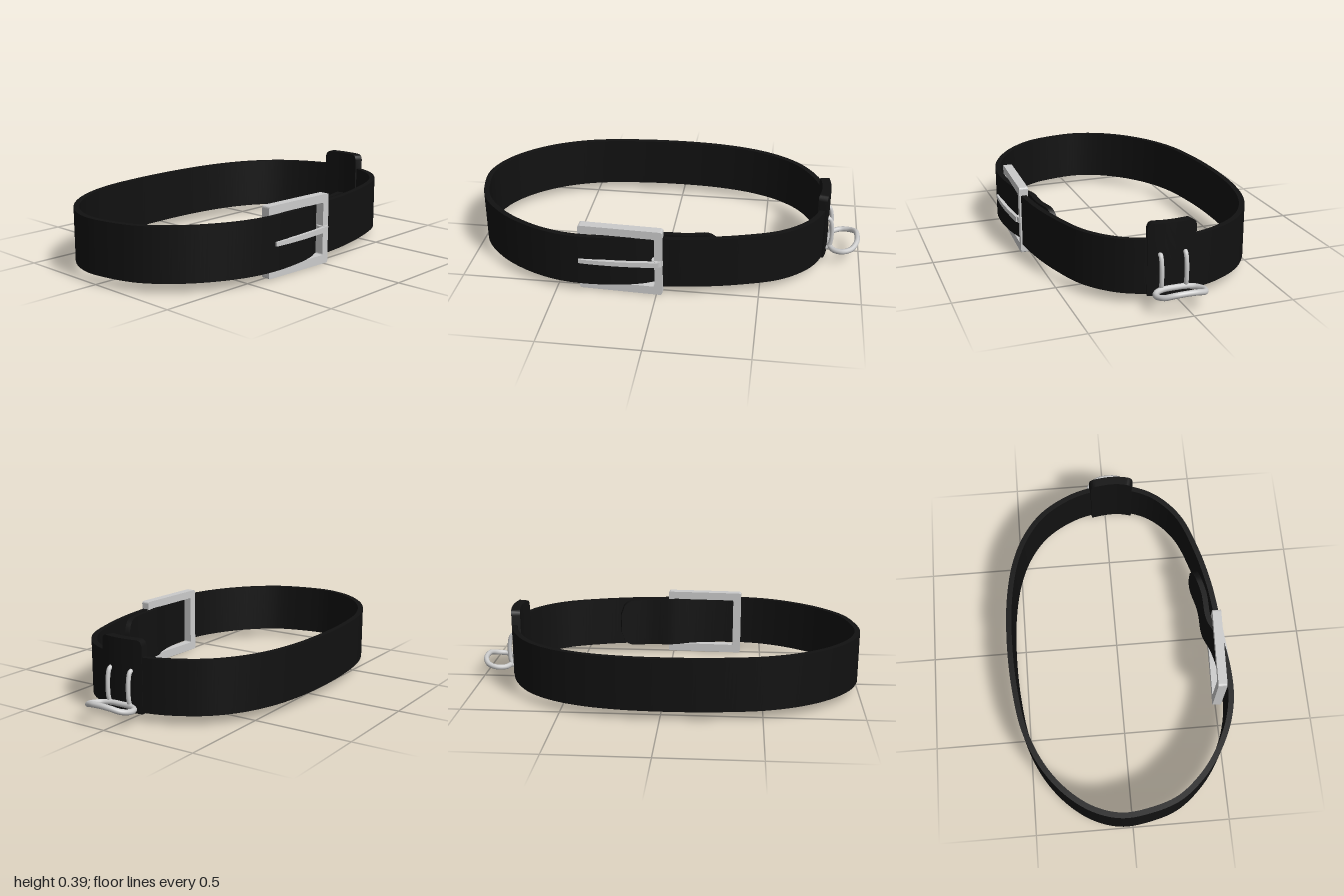
import * as THREE from 'three';
import { toCreasedNormals } from 'three/addons/utils/BufferGeometryUtils.js';

const leather = new THREE.MeshStandardMaterial({ color: 0x111111 });
const metal = new THREE.MeshStandardMaterial({ color: 0xcccccc });

function mesh(name, geometry, material) {
  const m = new THREE.Mesh(geometry, material);
  m.name = name;
  return m;
}

// How far a rounded corner of radius r cuts in at distance d from the end
const corner = (d, r) => (d >= r ? 0 : r - Math.sqrt(Math.max(0, r * r - (r - d) ** 2)));

// Upright band of rectangular section along an x-z path; range(s, length) gives [bottom, top]
function band(points, thickness, n, range) {
  const curve = new THREE.CatmullRomCurve3(points.map(([x, z]) => new THREE.Vector3(x, 0, z)));
  const length = curve.getLength();
  const pos = [], index = [];
  for (let i = 0; i <= n; i++) {
    const p = curve.getPointAt(i / n), t = curve.getTangentAt(i / n);
    const [y0, y1] = range((i / n) * length, length);
    const h = thickness / 2, nx = -t.z * h, nz = t.x * h;
    pos.push(p.x + nx, y0, p.z + nz, p.x + nx, y1, p.z + nz);
    pos.push(p.x - nx, y1, p.z - nz, p.x - nx, y0, p.z - nz);
    if (i === n) break;
    for (let k = 0; k < 4; k++) {
      const a = i * 4 + k, b = i * 4 + ((k + 1) % 4);
      index.push(a, a + 4, b + 4, a, b + 4, b);
    }
  }
  const e = n * 4;
  index.push(0, 1, 2, 0, 2, 3, e, e + 2, e + 1, e, e + 3, e + 2);
  const g = new THREE.BufferGeometry();
  g.setAttribute('position', new THREE.Float32BufferAttribute(pos, 3));
  g.setIndex(index);
  return toCreasedNormals(g, 0.6);
}

function rod(points, radius, closed = false) {
  const curve = new THREE.CatmullRomCurve3(points.map((p) => new THREE.Vector3(...p)), closed);
  return new THREE.TubeGeometry(curve, 64, radius, 10, closed);
}

function roundedRect(path, x0, y0, x1, y1, r) {
  path.moveTo(x0 + r, y0);
  path.lineTo(x1 - r, y0).quadraticCurveTo(x1, y0, x1, y0 + r);
  path.lineTo(x1, y1 - r).quadraticCurveTo(x1, y1, x1 - r, y1);
  path.lineTo(x0 + r, y1).quadraticCurveTo(x0, y1, x0, y1 - r);
  path.lineTo(x0, y0 + r).quadraticCurveTo(x0, y0, x0 + r, y0);
  return path;
}

function createBuckle() {
  const buckle = new THREE.Group();
  buckle.name = 'buckle';

  // Frame, slightly turned so that its free bar sits behind the strap
  const shape = roundedRect(new THREE.Shape(), -0.208, 0, 0.208, 0.355, 0.012);
  shape.holes.push(roundedRect(new THREE.Path(), -0.165, 0.045, 0.17, 0.313, 0.008));
  const frame = mesh('buckleFrame', new THREE.ExtrudeGeometry(shape, { depth: 0.046, bevelEnabled: false, curveSegments: 5 }), metal);
  frame.geometry.translate(0, 0, -0.023);
  frame.position.set(-0.178, 0, 0.516);
  frame.rotation.y = -0.04;
  buckle.add(frame);

  // Prong lying over the strap, tapering to its tip
  const prong = new THREE.BoxGeometry(0.39, 0.028, 0.018, 8, 1, 1);
  const p = prong.attributes.position;
  for (let i = 0; i < p.count; i++) {
    const t = 0.5 - p.getX(i) / 0.39;
    p.setY(i, p.getY(i) * (1 - 0.25 * t));
    p.setZ(i, p.getZ(i) + 0.016 * Math.sin(Math.PI * Math.min(1, t * 0.75)));
  }
  prong.computeVertexNormals();
  const prongMesh = mesh('prong', prong, metal);
  prongMesh.position.set(-0.185, 0.18, 0.555);
  buckle.add(prongMesh);

  // Loop that holds the prong on the bar
  const loop = mesh('prongLoop', new THREE.CylinderGeometry(0.029, 0.029, 0.03, 16), metal);
  loop.position.set(0.005, 0.18, 0.53);
  buckle.add(loop);
  return buckle;
}

function createHanger() {
  const hanger = new THREE.Group();
  hanger.name = 'sideHanger';

  // Curved backing plate with rounded upper corners
  hanger.add(mesh('backingPlate', band(
    [[0.79, 0.15], [0.804, 0.09], [0.808, 0.035], [0.804, -0.02], [0.795, -0.08]], 0.046, 48,
    (s, len) => [0.04, 0.393 - corner(Math.min(s, len - s), 0.028)]), leather));

  // Two wire staples
  for (const z of [0.098, -0.025]) {
    hanger.add(mesh('staple', rod([
      [0.815, 0.247, z], [0.835, 0.238, z], [0.846, 0.205, z], [0.85, 0.15, z],
      [0.846, 0.1, z], [0.835, 0.075, z], [0.815, 0.068, z]], 0.011), metal));
  }

  // D-shaped ring with its outer side curling upward
  const half = [[0.845, 0.077, 0.06], [0.865, 0.076, 0.1], [0.91, 0.08, 0.118], [0.955, 0.089, 0.1], [0.98, 0.104, 0.055]];
  const at = (s) => ([x, y, z]) => [x, y, 0.03 + s * z];
  hanger.add(mesh('ring', rod(
    [[0.841, 0.077, 0.03], ...half.map(at(1)), [0.985, 0.108, 0.03], ...half.map(at(-1)).reverse()], 0.014, true), metal));
  return hanger;
}

export function createModel() {
  const model = new THREE.Group();
  model.name = 'belt';

  // Strap: from the buckle bar round the waist, over the frame and back inside as a tail
  const path = [
    [0.03, 0.525], [0.2, 0.505], [0.4, 0.46], [0.6, 0.385], [0.73, 0.27], [0.79, 0.15],
    [0.81, 0.03], [0.797, -0.1], [0.755, -0.22], [0.67, -0.35], [0.55, -0.445], [0.4, -0.51],
    [0.2, -0.55], [-0.05, -0.562], [-0.3, -0.548], [-0.52, -0.51], [-0.7, -0.435], [-0.84, -0.33],
    [-0.94, -0.2], [-0.985, -0.06], [-0.973, 0.08], [-0.925, 0.23], [-0.82, 0.36], [-0.7, 0.45],
    [-0.55, 0.52], [-0.4, 0.55], [-0.2, 0.542], [-0.08, 0.515], [0, 0.482], [0.15, 0.473], [0.3, 0.435],
  ];
  model.add(mesh('strap', band(path, 0.028, 260, (s, len) => {
    const cut = corner(len - s, 0.08);
    return [0.047 + cut, 0.314 - cut];
  }), leather));

  model.add(createBuckle(), createHanger());
  return model;
}
